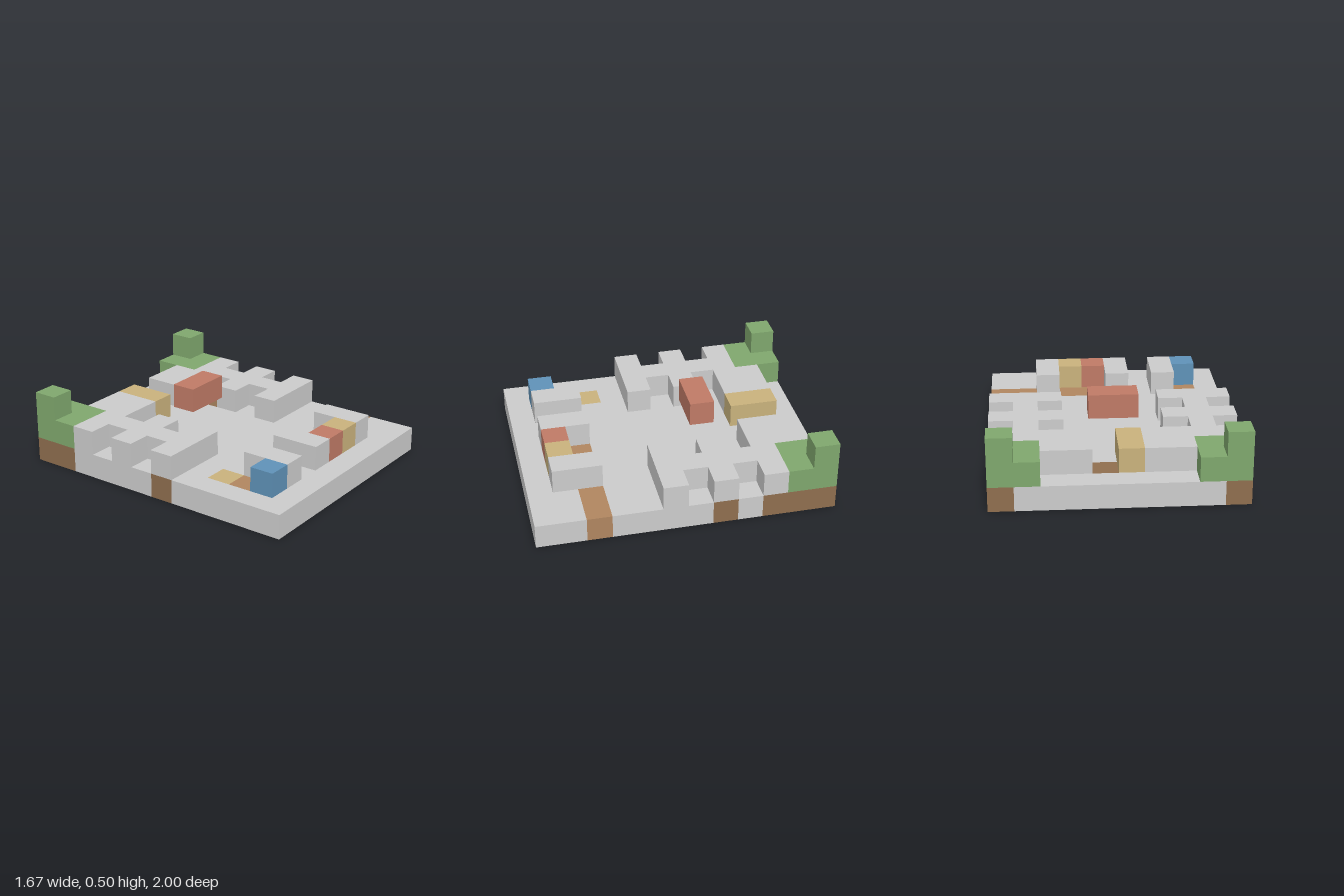
import * as THREE from 'three';
import { mergeGeometries } from 'three/addons/utils/BufferGeometryUtils.js';

const S = 1 / 6; // edge of one block

// Each letter is a part: name and colour
const PARTS = {
  s: ['stoneFloor', 0xcccccc],
  w: ['stoneWalls', 0xcccccc],
  d: ['darkEarth', 0x8f6e4e],
  b: ['clayFloor', 0xb08660],
  y: ['sandFloor', 0xc9b27c],
  t: ['sandBlocks', 0xc9b27c],
  g: ['cornerTowers', 0x7fa76d],
  r: ['redBlocks', 0xbf7a66],
  u: ['blueBlock', 0x5f92b8],
};

// Block plans from bottom to top; rows run back to front, columns along +x
const LAYERS = [
  [
    'dssssssssd',
    'dssssdsssd',
    'sssssssssd',
    'sssssssdss',
    'sssssssssd',
    'ssssssssss',
    'dsssssssss',
    'ssssssssss',
    'syssssssss',
    'sbsssbbsbb',
    'ssssssssss',
    'ssssssssss',
  ],
  [
    'gg......gg',
    'ggwwt.wwgg',
    'wwwwt.wwww',
    '.w......w.',
    'www....www',
    '.w......w.',
    'www....www',
    '..........',
    '..........',
    '..w.w..w..',
    '.uw.wrtw..',
    '..........',
  ],
  [
    'g........g',
    '..........',
    '..........',
    '..........',
    '....rr....',
  ],
];

// Outward directions of the six block faces
const DIRS = [[1, 0, 0], [-1, 0, 0], [0, 1, 0], [0, -1, 0], [0, 0, 1], [0, 0, -1]];

function blockAt(x, y, z) {
  const c = LAYERS[y]?.[z]?.[x];
  return c && c !== '.' ? c : null;
}

// One square face of a block, facing along dir
function blockFace(x, y, z, dir) {
  const n = new THREE.Vector3(...dir);
  const q = new THREE.Quaternion().setFromUnitVectors(new THREE.Vector3(0, 0, 1), n);
  const face = new THREE.PlaneGeometry(S, S);
  face.applyQuaternion(q);
  face.translate(
    (x - 4.5 + n.x / 2) * S,
    (y + 0.5 + n.y / 2) * S,
    (z - 5.5 + n.z / 2) * S
  );
  return face;
}

export function createModel() {
  const group = new THREE.Group();
  const faces = {};

  // Keep only exposed faces; the underside of the base is open
  LAYERS.forEach((rows, y) => rows.forEach((row, z) => [...row].forEach((key, x) => {
    if (key === '.') return;
    for (const dir of DIRS) {
      const [dx, dy, dz] = dir;
      if (y + dy < 0 || blockAt(x + dx, y + dy, z + dz)) continue;
      (faces[key] ??= []).push(blockFace(x, y, z, dir));
    }
  })));

  for (const [key, list] of Object.entries(faces)) {
    const [name, color] = PARTS[key];
    const material = new THREE.MeshStandardMaterial({ color, side: THREE.DoubleSide });
    const mesh = new THREE.Mesh(mergeGeometries(list), material);
    mesh.name = name;
    group.add(mesh);
  }
  return group;
}
